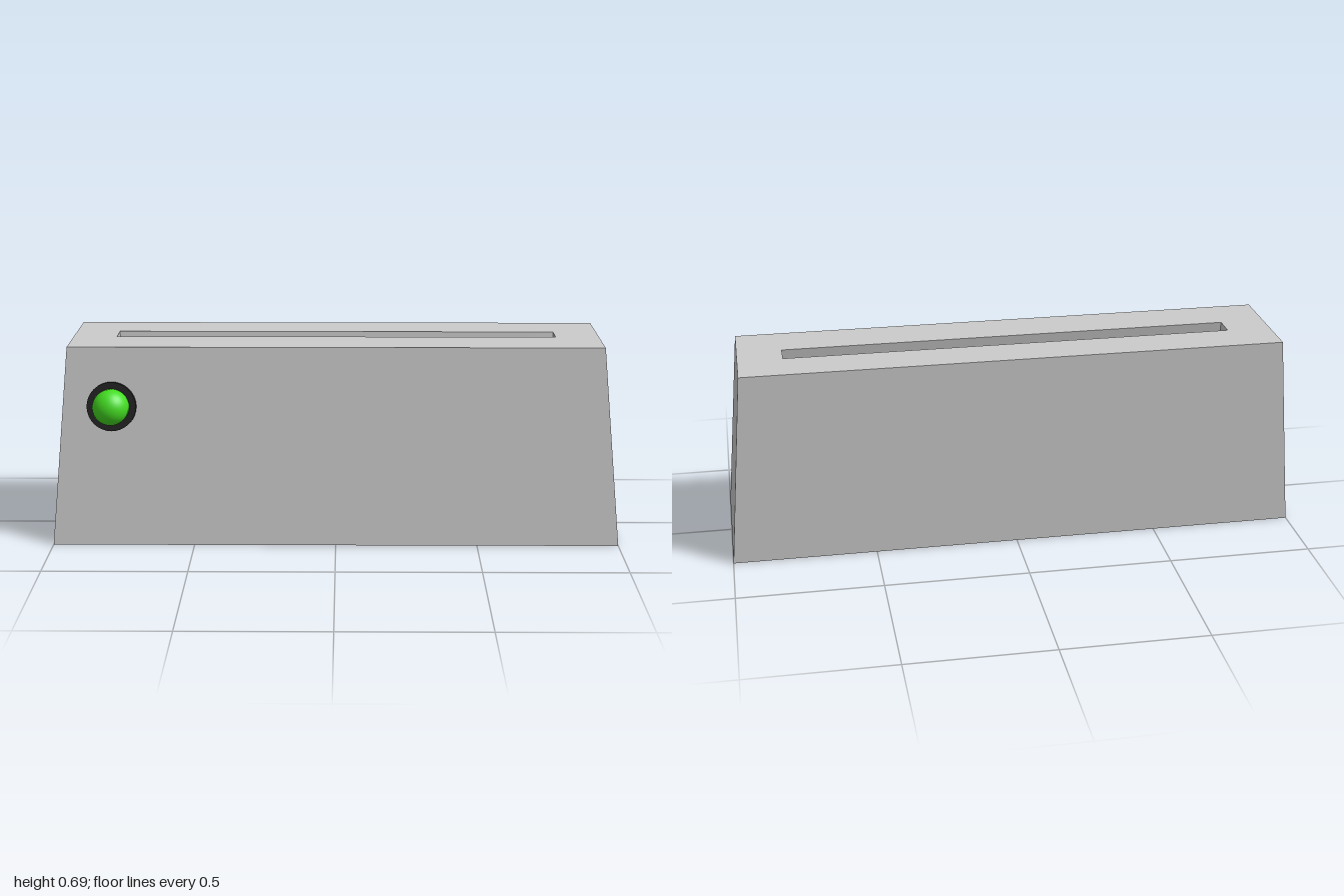
import * as THREE from 'three';

const HEIGHT = 0.693, FRONT = 0.243, TOP_FRONT = 0.132, BACK = -0.257;
const slope = (FRONT - TOP_FRONT) / HEIGHT; // backward lean of the front face

// Four corners of a level rectangle, counter-clockwise from above
const ring = (halfWidth, y, back, front) => [
  [-halfWidth, y, front], [halfWidth, y, front], [halfWidth, y, back], [-halfWidth, y, back],
];

// Flat-faced skin through successive rings, capped at both ends
function skinRings(rings) {
  const positions = [];
  const quad = (a, b, c, d) => positions.push(...a, ...b, ...c, ...a, ...c, ...d);
  for (let i = 0; i < rings.length - 1; i++) {
    const a = rings[i], b = rings[i + 1];
    for (let k = 0; k < 4; k++) {
      const n = (k + 1) % 4;
      quad(a[k], a[n], b[n], b[k]);
    }
  }
  quad(...[...rings[0]].reverse());
  quad(...rings[rings.length - 1]);
  const geometry = new THREE.BufferGeometry();
  geometry.setAttribute('position', new THREE.Float32BufferAttribute(positions, 3));
  geometry.computeVertexNormals();
  return geometry;
}

function addMesh(parent, name, geometry, color) {
  const mesh = new THREE.Mesh(geometry, new THREE.MeshStandardMaterial({ color }));
  mesh.name = name;
  parent.add(mesh);
  return mesh;
}

export function createModel() {
  const model = new THREE.Group();
  model.name = 'slottedStand';

  // Tapered body; its slot sinks parallel to the leaning front
  const depth = 0.25, shift = depth * slope;
  addMesh(model, 'body', skinRings([
    ring(1, 0, BACK, FRONT),
    ring(0.94, HEIGHT, BACK, TOP_FRONT),
    ring(0.785, HEIGHT, -0.11, -0.03),
    ring(0.785, HEIGHT - depth, -0.11 + shift, -0.03 + shift),
  ]), 0xcccccc);

  // Push button, its axis square to the front face
  const button = new THREE.Group();
  button.name = 'button';
  const y = 0.488;
  button.position.set(-0.785, y, FRONT - slope * y);
  button.rotation.x = Math.PI / 2 - Math.atan(slope);
  model.add(button);

  const collar = addMesh(button, 'buttonCollar', new THREE.CylinderGeometry(0.086, 0.086, 0.02, 32), 0x222222);
  collar.position.y = 0.01;

  // Short straight side, then a rounded dome
  const radius = 0.063, profile = [new THREE.Vector2(radius, 0.01)];
  for (let i = 0; i <= 12; i++) {
    const t = (i / 12) * Math.PI / 2;
    profile.push(new THREE.Vector2(i === 12 ? 0 : radius * Math.cos(t), 0.04 + 0.055 * Math.sin(t)));
  }
  addMesh(button, 'buttonDome', new THREE.LatheGeometry(profile, 32), 0x44dd22);

  return model;
}
